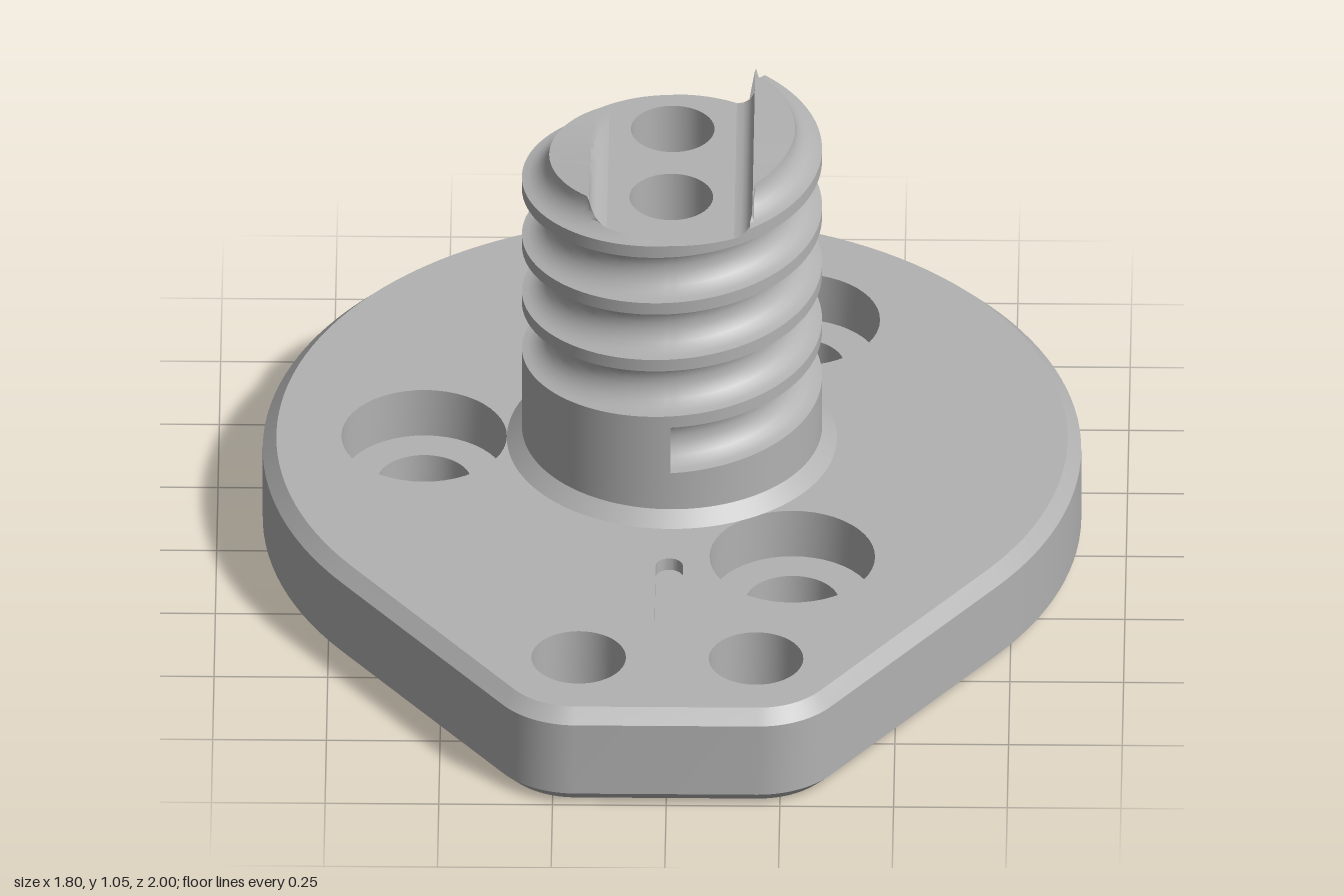
import * as THREE from 'three';
import { toCreasedNormals } from 'three/addons/utils/BufferGeometryUtils.js';

const TAU = Math.PI * 2;
const ZC = -0.1;                                  // post axis
const PLATE_TOP = 0.24, FLOOR = 0.965, PITCH = 0.15;
const R = 0.33, GROOVE = 0.06;
const steel = new THREE.MeshStandardMaterial({ color: 0xb2b2b2, side: THREE.DoubleSide });
steel.name = 'plain grey';

// Surface from columns of points: columns run rightwards, points upwards, seen from outside
function grid(cols, closed = false) {
  const pos = cols.flat().flatMap(p => [p.x, p.y, p.z]);
  const m = cols[0].length, n = cols.length, index = [];
  for (let i = 0; i < (closed ? n : n - 1); i++) {
    for (let j = 0; j < m - 1; j++) {
      const a = i * m + j, b = ((i + 1) % n) * m + j;
      index.push(a, b, b + 1, a, b + 1, a + 1);
    }
  }
  const g = new THREE.BufferGeometry();
  g.setAttribute('position', new THREE.Float32BufferAttribute(pos, 3));
  g.setIndex(index);
  return toCreasedNormals(g, 0.5);
}

// Flat horizontal face with holes; outlines are lists of [x, z]
function face(outline, holes, y, up = true) {
  const s = up ? -1 : 1;
  const pts = o => o.map(([x, z]) => new THREE.Vector2(x, z * s));
  const shape = new THREE.Shape(pts(outline));
  shape.holes = holes.map(h => new THREE.Path(pts(h)));
  return new THREE.ShapeGeometry(shape).rotateX(s * Math.PI / 2).translate(0, y, 0);
}

function arc(cx, cz, r, a0, a1, n) {
  return Array.from({ length: n + 1 }, (_, i) => {
    const a = a0 + (a1 - a0) * i / n;
    return [cx + r * Math.cos(a), cz + r * Math.sin(a)];
  });
}
const circle = (x, z, r) => arc(x, z, r, 0, TAU, 48).slice(0, -1);

// Inward-facing wall of a hole
const holeWall = (o, y0, y1) =>
  grid(o.map(([x, z]) => [new THREE.Vector3(x, y0, z), new THREE.Vector3(x, y1, z)]), true);

// Teardrop plate outline: large disc tangent to two rounded front corners
function plateOutline(inset) {
  const t = Math.atan2(0.6, 0.8);
  return [
    ...arc(0, ZC, 0.9 - inset, Math.PI - t, TAU + t, 96),
    ...arc(0.2, 0.8, 0.2 - inset, t, Math.PI / 2, 12),
    ...arc(-0.2, 0.8, 0.2 - inset, Math.PI / 2, Math.PI - t, 12),
  ];
}

// Channel across the post top, with filleted lower corners
function channel(x) {
  const d = Math.abs(x) - 0.14;
  if (d <= 0) return FLOOR;
  return d <= 0.04001 ? FLOOR + 0.04 - Math.sqrt(Math.max(0, 0.0016 - d * d)) : 9;
}
// Helical top, rising from the back round by the left, front and right
function topHeight(x, z) {
  const phi = (Math.atan2(-x, ZC - z) + TAU) % TAU;
  return Math.min(1.055, Math.max(FLOOR, 0.95 + PITCH * phi / TAU));
}
const limit = (x, z) => Math.min(topHeight(x, z), channel(x));

// One vertical profile of the threaded post
function postColumn(phi, started) {
  const rise = PITCH * phi / TAU, profile = [[R, 0.27]];
  for (let k = 0; k < 5; k++) {
    for (let i = 0; i <= (k === 4 ? 6 : 12); i++) {
      const a = Math.PI * i / 12;
      const depth = k === 0 && !started ? 0 : GROOVE * Math.sin(a);
      profile.push([R - depth, 0.35 + PITCH * k + rise - GROOVE * Math.cos(a)]);
    }
  }
  profile.push([R - GROOVE, 2]);
  const at = (r, y) => new THREE.Vector3(-Math.sin(phi) * r, y, ZC - Math.cos(phi) * r);
  const col = [at(0.363, PLATE_TOP)];
  let pr = R, py = PLATE_TOP, end = null;
  for (const [r, y] of profile) {
    if (!end) {
      const p = at(r, y), lim = limit(p.x, p.z);
      if (y > lim) {
        const f = Math.min(1, Math.max(0, (lim - py) / (y - py)));
        end = at(pr + (r - pr) * f, 0);
        end.y = limit(end.x, end.z);
      } else col.push(p);
      pr = r; py = y;
    }
    if (end) col.push(end.clone());
  }
  return col;
}

export function createModel() {
  const model = new THREE.Group();
  model.name = 'threadedPostOnPlate';
  const add = (name, geometry, parent = model) => {
    const mesh = new THREE.Mesh(geometry, steel);
    mesh.name = name;
    parent.add(mesh);
  };

  // Plate
  const plate = new THREE.Group();
  plate.name = 'basePlate';
  model.add(plate);
  const levels = [[0.03, PLATE_TOP], [0, 0.21], [0, 0.03], [0.03, 0]];
  const rings = levels.map(([inset, y]) => plateOutline(inset).map(([x, z]) => new THREE.Vector3(x, y, z)));
  add('plateRim', grid(rings[0].map((_, i) => rings.map(r => r[i])), true), plate);

  const bores = [[0.27, -0.57], [-0.545, ZC], [0.27, 0.37]];
  const small = [[-0.195, 0.775], [0.195, 0.775]].map(([x, z]) => circle(x, z, 0.104));
  const shafts = [-0.235, 0.035].map(z => circle(0, z, 0.092));
  const narrow = bores.map(([x, z]) => circle(x, z, 0.104));
  const wide = bores.map(([x, z]) => circle(x, z, 0.182));
  const slot = [...arc(0, 0.67, 0.03, 0, Math.PI, 12), ...arc(0, 0.41, 0.03, Math.PI, TAU, 12)];
  add('plateTop', face(plateOutline(0.03), [...wide, ...small, ...shafts, slot], PLATE_TOP), plate);
  add('plateBottom', face(plateOutline(0.03), [...narrow, ...small, ...shafts], 0, false), plate);

  // Counterbored holes, plain holes and marker slot
  bores.forEach((_, i) => {
    add('counterboreWall', holeWall(wide[i], 0.12, PLATE_TOP), plate);
    add('counterboreLedge', face(wide[i], [narrow[i]], 0.12), plate);
    add('counterboreHole', holeWall(narrow[i], 0, 0.12), plate);
  });
  small.forEach(o => add('frontHole', holeWall(o, 0, PLATE_TOP), plate));
  add('slotWall', holeWall(slot, 0.21, PLATE_TOP), plate);
  add('slotFloor', face(slot, [], 0.21), plate);

  // Threaded post; the doubled front column forms the end wall of the groove
  const post = new THREE.Group();
  post.name = 'threadedPost';
  model.add(post);
  const N = 192, cols = [];
  for (let i = 0; i <= N; i++) {
    const phi = TAU * i / N;
    if (i <= N / 2) cols.push(postColumn(phi, false));
    if (i >= N / 2) cols.push(postColumn(phi, true));
  }
  add('thread', grid(cols), post);

  // Raised lands on both sides of the channel
  const edge = cols.map(c => c[c.length - 1]);
  const stations = [9, 0.1802, 0.18, 0.178, 0.173, 0.165, 0.155, 0.14];
  for (const [name, part, side] of [['rightLand', edge.slice(0, N / 2 + 1), -1], ['leftLand', edge.slice(N / 2 + 1), 1]]) {
    add(name, grid(part.map(p => stations.map(s => {
      const x = side * Math.min(s, Math.abs(p.x));
      return new THREE.Vector3(x, limit(x, p.z), p.z);
    }))), post);
  }

  // Channel floor with the two shafts through it
  const inside = p => Math.abs(p.x) <= 0.14;
  const ring = edge.filter((_, i) => i !== N / 2 && i !== N + 1);
  const floor = ring
    .filter((p, i) => inside(p) || inside(ring[(i + 1) % N]) || inside(ring[(i + N - 1) % N]))
    .map(p => [Math.max(-0.14, Math.min(0.14, p.x)), p.z]);
  add('channelFloor', face(floor, shafts, FLOOR), post);
  shafts.forEach(o => add('shaft', holeWall(o, 0, FLOOR), post));

  return model;
}
